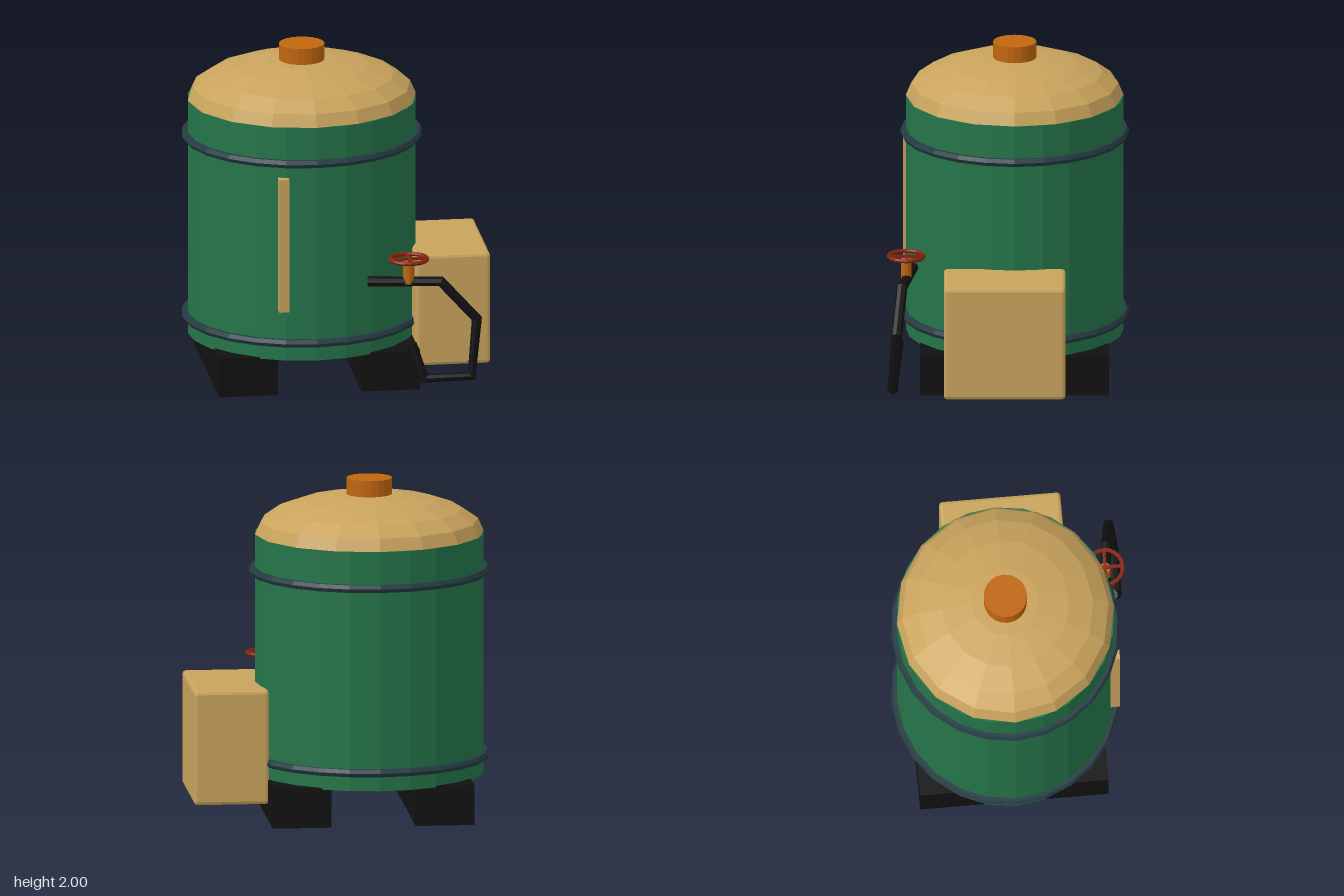
import * as THREE from 'three';
import { RoundedBoxGeometry } from 'three/addons/geometries/RoundedBoxGeometry.js';

const DEPTH = 0.948; // the round parts are slightly flattened along z

function paint(name, color) {
  const m = new THREE.MeshStandardMaterial({ color, flatShading: true });
  m.name = name;
  return m;
}

// Straight-sided path: one tube ring per corner point
class BentPath extends THREE.Curve {
  constructor(points) {
    super();
    this.points = points;
  }
  getPoint(t, target = new THREE.Vector3()) {
    const n = this.points.length - 1;
    const i = Math.min(Math.floor(t * n + 1e-9), n - 1);
    return target.lerpVectors(this.points[i], this.points[i + 1], t * n - i);
  }
  getPointAt(t, target) {
    return this.getPoint(t, target);
  }
  getTangentAt(t, target = new THREE.Vector3()) {
    const n = this.points.length - 1;
    const i = Math.round(t * n);
    const dir = (a) => this.points[a + 1].clone().sub(this.points[a]).normalize();
    return target.copy(dir(Math.max(i - 1, 0))).add(dir(Math.min(i, n - 1))).normalize();
  }
}

export function createModel() {
  const green = paint('tank green', 0x25754a);
  const tan = paint('tan', 0xc9a35c);
  const orange = paint('orange', 0xc0660f);
  const slate = paint('band slate', 0x243c42);
  const black = paint('black', 0x111111);
  const red = paint('wheel red', 0x842410);

  const model = new THREE.Group();
  model.name = 'storageTank';
  const add = (parent, name, geometry, material, x = 0, y = 0, z = 0) => {
    const mesh = new THREE.Mesh(geometry, material);
    mesh.name = name;
    mesh.position.set(x, y, z);
    parent.add(mesh);
    return mesh;
  };

  // Tank with dome, cap and bands
  const tank = new THREE.Group();
  tank.name = 'tank';
  tank.position.set(-0.18, 0, -0.042);
  tank.scale.z = DEPTH;
  model.add(tank);
  add(tank, 'tankBody', new THREE.CylinderGeometry(0.68, 0.68, 1.44, 24), green, 0, 0.95, 0);
  const dome = add(tank, 'dome',
    new THREE.SphereGeometry(0.68, 16, 5, 0, Math.PI * 2, 0, Math.PI / 2), tan, 0, 1.67, 0);
  dome.scale.y = 0.24 / 0.68;
  add(tank, 'cap', new THREE.CylinderGeometry(0.135, 0.135, 0.14, 20), orange, 0, 1.93, 0);
  for (const [name, y] of [['lowerBand', 0.34], ['upperBand', 1.45]]) {
    add(tank, name, new THREE.TorusGeometry(0.69, 0.026, 6, 24).rotateX(Math.PI / 2), slate, 0, y, 0);
  }

  // Level gauge strip
  add(model, 'gaugeStrip', new THREE.BoxGeometry(0.06, 0.82, 0.07), tan, -0.375, 0.95, 0.585);

  // Skids
  for (const [name, x] of [['rightSkid', -0.575], ['leftSkid', 0.275]]) {
    add(model, name, new THREE.BoxGeometry(0.35, 0.24, 1.12), black, x, 0.12, -0.04);
  }

  // Control box
  add(model, 'controlBox', new RoundedBoxGeometry(0.445, 0.685, 0.72, 1, 0.02), tan, 0.668, 0.44, 0.018);

  // Bent pipe with closed ends
  const points = [
    [0.13, 0.695, 0.56], [0.56, 0.695, 0.625], [0.77, 0.465, 0.655],
    [0.735, 0.12, 0.68], [0.455, 0.115, 0.675], [0.38, 0.32, 0.645],
  ].map((p) => new THREE.Vector3(...p));
  const path = new BentPath(points);
  const pipe = new THREE.Group();
  pipe.name = 'pipe';
  model.add(pipe);
  add(pipe, 'pipeTube', new THREE.TubeGeometry(path, points.length - 1, 0.032, 8, false), black);
  for (const [name, t, sign] of [['pipeStart', 0, -1], ['pipeEnd', 1, 1]]) {
    const p = path.getPointAt(t);
    const end = add(pipe, name, new THREE.CircleGeometry(0.032, 8), black, p.x, p.y, p.z);
    end.lookAt(p.clone().addScaledVector(path.getTangentAt(t), sign));
  }

  // Valve with spoked hand wheel
  const valve = new THREE.Group();
  valve.name = 'valve';
  valve.position.set(0.37, 0, 0.6);
  valve.scale.z = DEPTH;
  model.add(valve);
  add(valve, 'valveStem', new THREE.CylinderGeometry(0.034, 0.034, 0.14, 10), orange, 0, 0.755, 0);
  add(valve, 'wheelRim', new THREE.TorusGeometry(0.11, 0.013, 6, 20).rotateX(Math.PI / 2), red, 0, 0.835, 0);
  add(valve, 'spokeAcross', new THREE.BoxGeometry(0.22, 0.016, 0.018), red, 0, 0.835, 0);
  add(valve, 'spokeAlong', new THREE.BoxGeometry(0.018, 0.016, 0.22), red, 0, 0.835, 0);

  return model;
}
